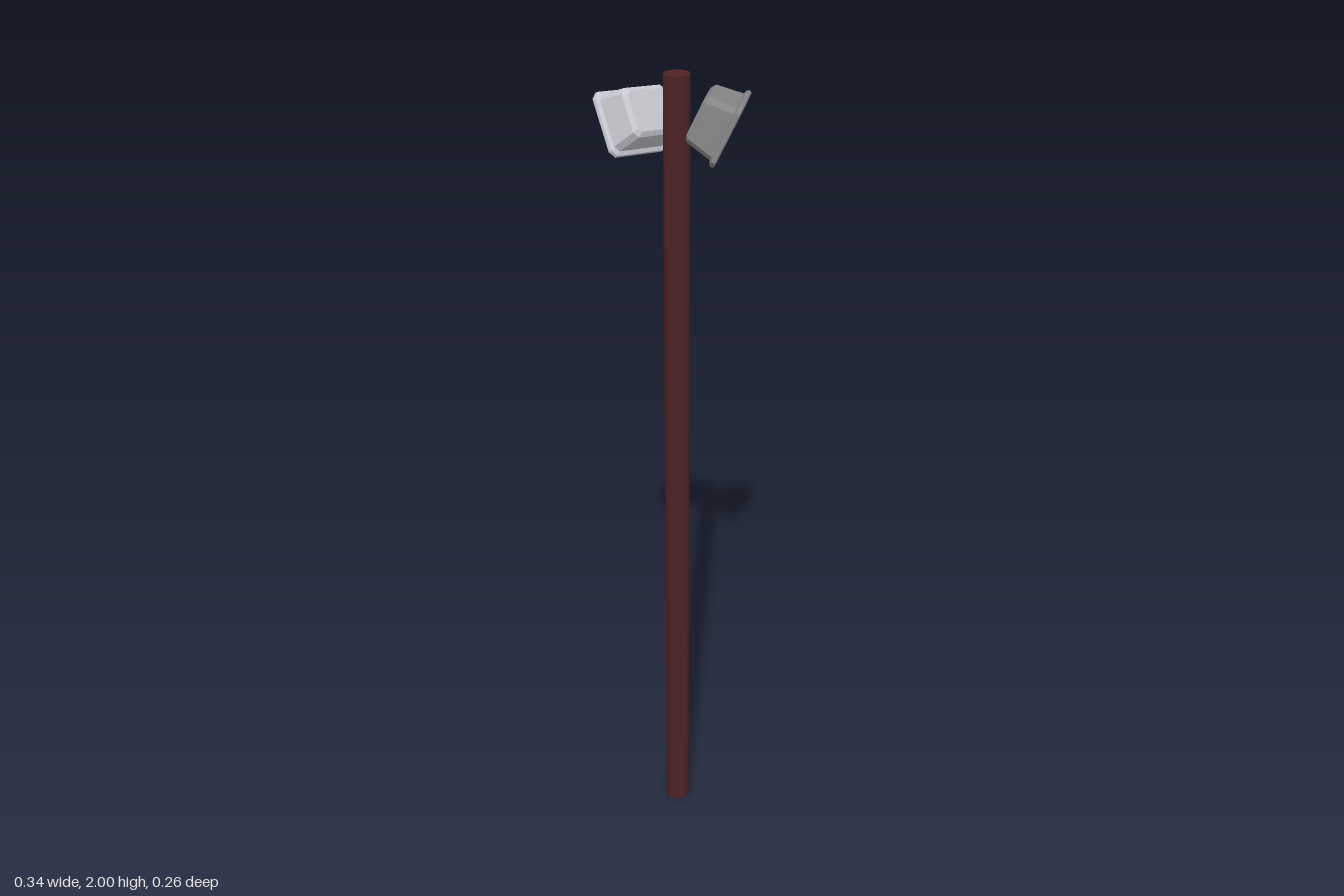
import * as THREE from 'three';

// Rectangle with cut corners, counter-clockwise seen from +z
function section([w, h, z, c]) {
  const x = w / 2, y = h / 2;
  return [[x, -y + c], [x, y - c], [x - c, y], [-x + c, y], [-x, y - c], [-x, -y + c], [-x + c, -y], [x - c, -y]]
    .map(([px, py]) => new THREE.Vector3(px, py, z));
}

// Skin a list of sections and close both ends
function loft(specs) {
  const loops = specs.map(section), pos = [];
  const tri = (...pts) => pts.forEach((p) => pos.push(p.x, p.y, p.z));
  for (let s = 0; s < loops.length - 1; s++) {
    const a = loops[s], b = loops[s + 1];
    for (let i = 0; i < a.length; i++) {
      const j = (i + 1) % a.length;
      tri(a[i], a[j], b[j]);
      tri(a[i], b[j], b[i]);
    }
  }
  const back = loops[0], front = loops[loops.length - 1];
  for (let i = 1; i < back.length - 1; i++) {
    tri(back[0], back[i + 1], back[i]);
    tri(front[0], front[i], front[i + 1]);
  }
  const geo = new THREE.BufferGeometry();
  geo.setAttribute('position', new THREE.Float32BufferAttribute(pos, 3));
  geo.computeVertexNormals();
  return geo;
}

// Lamp head: tapered housing, and a flared rim around a recessed face
function lampHead(name, material, centre, outward, up) {
  const head = new THREE.Group();
  head.name = name;
  const housing = new THREE.Mesh(loft([
    [0.112, 0.092, -0.084, 0.008],
    [0.132, 0.112, -0.076, 0.012],
    [0.150, 0.130, -0.012, 0.012],
  ]), material);
  housing.name = 'housing';
  const rim = new THREE.Mesh(loft([
    [0.150, 0.130, -0.014, 0.012],
    [0.166, 0.147, -0.010, 0.014],
    [0.168, 0.149, -0.002, 0.014],
    [0.162, 0.143, 0.001, 0.014],
    [0.136, 0.117, 0.001, 0.009],
    [0.126, 0.107, -0.016, 0.007],
  ]), material);
  rim.name = 'rimAndFace';
  head.add(housing, rim);

  // Aim the head along its outward direction
  const z = new THREE.Vector3(...outward).normalize();
  const x = new THREE.Vector3(...up).cross(z).normalize();
  const y = z.clone().cross(x);
  head.quaternion.setFromRotationMatrix(new THREE.Matrix4().makeBasis(x, y, z));
  head.position.set(...centre);
  return head;
}

export function createModel() {
  const model = new THREE.Group();
  model.name = 'lampPost';

  const poleBrown = new THREE.MeshStandardMaterial({ color: 0x4e2225 });
  poleBrown.name = 'dark red brown';
  const lightGrey = new THREE.MeshStandardMaterial({ color: 0xc8c8d0 });
  lightGrey.name = 'light grey';
  const midGrey = new THREE.MeshStandardMaterial({ color: 0x858585 });
  midGrey.name = 'mid grey';

  // Pole
  const pole = new THREE.Mesh(new THREE.CylinderGeometry(0.03, 0.03, 2, 16), poleBrown);
  pole.name = 'pole';
  pole.position.set(0.0045, 1, 0.026);
  model.add(pole);

  // Two heads, each tipped down and slightly rolled
  model.add(lampHead('rightHead', lightGrey, [-0.127, 1.868, 0.036], [-0.85, -0.53, -0.03], [-0.077, 0.126, -0.025]));
  model.add(lampHead('leftHead', midGrey, [0.102, 1.878, -0.047], [0.785, -0.43, -0.444], [0.053, 0.135, -0.037]));
  return model;
}
